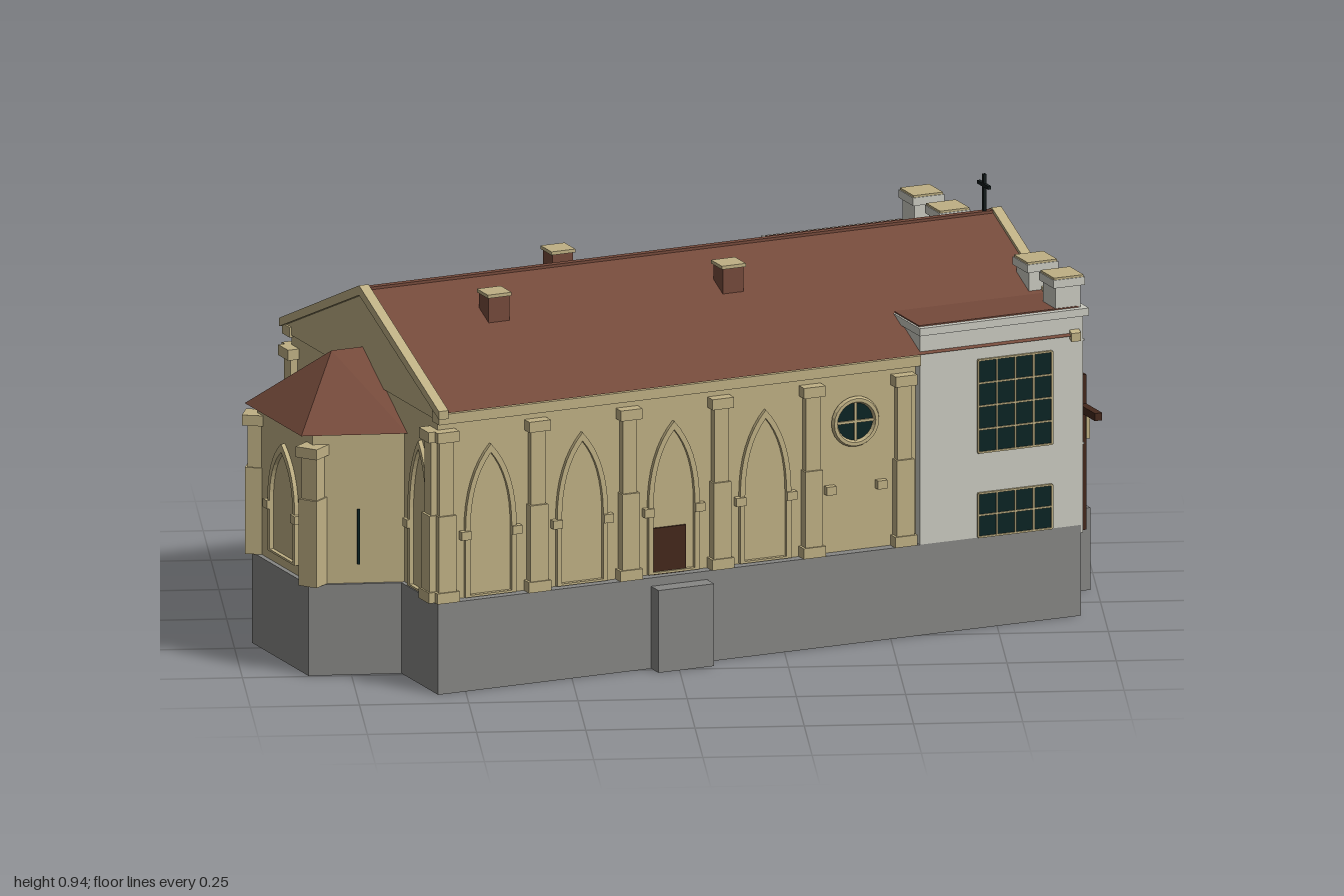
import * as THREE from 'three';

const paint = (name, color) => {
  const m = new THREE.MeshStandardMaterial({ color, side: THREE.DoubleSide, flatShading: true });
  m.name = name;
  return m;
};
const stone = paint('sandstone', 0xbfb084);
const plaster = paint('white plaster', 0xcacac0);
const grey = paint('grey plinth', 0x868684);
const tile = paint('roof tile', 0x754a3b);
const glass = paint('dark glass', 0x0c2424);
const blue = paint('blue panel', 0x24336c);
const wood = paint('dark wood', 0x44281c);
const iron = paint('black iron', 0x141c1c);

function add(parent, name, geo, mat, x = 0, y = 0, z = 0) {
  const m = new THREE.Mesh(geo, mat);
  m.name = name;
  m.position.set(x, y, z);
  parent.add(m);
  return m;
}
// Box given by its extents on each axis
function box(parent, name, mat, x0, x1, y0, y1, z0, z1) {
  return add(parent, name, new THREE.BoxGeometry(x1 - x0, y1 - y0, z1 - z0), mat,
    (x0 + x1) / 2, (y0 + y1) / 2, (z0 + z1) / 2);
}
const poly = (pts) => new THREE.Shape(pts.map(([x, y]) => new THREE.Vector2(x, y)));
const rect = (x0, x1, w) => [[x0, -w], [x1, -w], [x1, w], [x0, w]];
// Upright walls from a plan outline [x, z], optionally hollow
function walls(parent, name, mat, pts, y0, y1, hole) {
  const s = poly(pts.map(([x, z]) => [x, -z]));
  if (hole) s.holes.push(poly(hole.map(([x, z]) => [x, -z])));
  const g = new THREE.ExtrudeGeometry(s, { depth: y1 - y0, bevelEnabled: false });
  g.rotateX(-Math.PI / 2);
  return add(parent, name, g, mat, 0, y0, 0);
}
// Relief extruded outwards from a wall face
function relief(parent, name, mat, shape, depth, z = 0) {
  return add(parent, name, new THREE.ExtrudeGeometry(shape, { depth, bevelEnabled: false, curveSegments: 8 }), mat, 0, 0, z);
}
// Group whose +z points out of a wall
function face(parent, name, angle, x, z) {
  const g = new THREE.Group();
  g.name = name;
  g.rotation.y = angle;
  g.position.set(x, 0, z);
  parent.add(g);
  return g;
}
function archShape(cx, w, y0, ys, yt, S = THREE.Shape) {
  const s = new S(), k = ys + (yt - ys) * 0.65;
  s.moveTo(cx - w, y0);
  s.lineTo(cx + w, y0);
  s.lineTo(cx + w, ys);
  s.quadraticCurveTo(cx + w, k, cx, yt);
  s.quadraticCurveTo(cx - w, k, cx - w, ys);
  s.lineTo(cx - w, y0);
  return s;
}
function blindArch(f, cx, w, y0, ys, yt) {
  const s = archShape(cx, w, y0, ys, yt);
  s.holes.push(archShape(cx, w - 0.012, y0 + 0.005, ys, yt - 0.02, THREE.Path));
  relief(f, 'blindArch', stone, s, 0.01);
  for (const d of [-1, 1]) {
    const c = cx + d * w;
    box(f, 'corbel', stone, c - 0.012, c + 0.012, ys - 0.02, ys, 0, 0.016);
  }
}
// Glazed window with a grid of bars
function win(f, x0, x1, y0, y1, nx, ny) {
  box(f, 'windowGlass', glass, x0, x1, y0, y1, 0, 0.003);
  const b = 0.002;
  for (let i = 0; i <= nx; i++) {
    const x = x0 + (x1 - x0) * i / nx;
    box(f, 'windowBar', stone, x - b, x + b, y0, y1, 0, 0.006);
  }
  for (let j = 0; j <= ny; j++) {
    const y = y0 + (y1 - y0) * j / ny;
    box(f, 'windowBar', stone, x0, x1, y - b, y + b, 0, 0.006);
  }
}
function pilaster(f, x) {
  box(f, 'pilasterFoot', stone, x - 0.028, x + 0.028, 0.215, 0.24, 0, 0.028);
  box(f, 'pilasterLower', stone, x - 0.022, x + 0.022, 0.24, 0.42, 0, 0.024);
  box(f, 'pilasterUpper', stone, x - 0.018, x + 0.018, 0.42, 0.6, 0, 0.018);
  box(f, 'pilasterCapital', stone, x - 0.027, x + 0.027, 0.595, 0.62, 0, 0.028);
}
function surface(parent, name, mat, pts, index) {
  const g = new THREE.BufferGeometry();
  g.setAttribute('position', new THREE.Float32BufferAttribute(pts.flat(), 3));
  g.setIndex(index);
  const flat = g.toNonIndexed();
  flat.computeVertexNormals();
  return add(parent, name, flat, mat);
}

export function createModel() {
  const model = new THREE.Group();
  model.name = 'church';
  const c = new THREE.Group();
  c.name = 'building';
  c.rotation.y = 0.358;
  c.position.set(0.045, 0, -0.005);
  model.add(c);

  // Hollow plinth, entrance steps and apse foundation
  walls(c, 'plinth', grey, rect(-0.81, 0.805, 0.425), 0, 0.215, rect(-0.79, 0.785, 0.39));
  box(c, 'frontTerrace', grey, 0.806, 0.915, 0, 0.195, -0.235, 0.235);
  box(c, 'sideStep', grey, -0.275, -0.135, 0, 0.195, 0.424, 0.465);
  walls(c, 'apsePlinth', grey, [[-0.81, -0.225], [-0.81, 0.225], [-1.012, 0.155], [-1.012, -0.155]], 0, 0.215);

  // Nave walls and main roof
  walls(c, 'naveWalls', stone, rect(-0.8, 0.41, 0.4), 0.215, 0.65, rect(-0.79, 0.4, 0.39));
  for (const s of [-1, 1]) {
    box(c, 'eaveCornice', stone, -0.81, 0.4, 0.64, 0.664, s > 0 ? 0.39 : -0.43, s > 0 ? 0.43 : -0.39);
    surface(c, 'mainRoof', tile, [[-0.8, 0.668, s * 0.435], [0.79, 0.668, s * 0.435], [0.79, 0.855, 0], [-0.8, 0.855, 0]],
      s > 0 ? [0, 1, 2, 0, 2, 3] : [0, 2, 1, 0, 3, 2]);
  }
  box(c, 'ridge', tile, -0.8, 0.79, 0.848, 0.858, -0.008, 0.008);

  // Gables with raised coping at both ends
  for (const [a, x] of [[-Math.PI / 2, -0.8], [Math.PI / 2, 0.785]]) {
    const f = face(c, 'gable', a, x, 0);
    relief(f, 'gableWall', stone, poly([[-0.425, 0.645], [0.425, 0.645], [0.425, 0.665], [0, 0.85], [-0.425, 0.665]]), 0.01, -0.005);
    const k = poly([[-0.438, 0.655], [-0.438, 0.675], [0, 0.863], [0.438, 0.675], [0.438, 0.655], [0, 0.84]]);
    relief(f, 'gableCoping', stone, k, 0.024, -0.01);
  }

  // Long sides: pilasters, blind arches, round window, side windows of the front block
  for (const s of [1, -1]) {
    const f = face(c, s > 0 ? 'leftSide' : 'rightSide', s > 0 ? 0 : Math.PI, 0, s * 0.4);
    for (let i = 0; i < 6; i++) pilaster(f, s * (-0.785 + i * 0.23));
    for (let i = 0; i < 4; i++) blindArch(f, s * (-0.67 + i * 0.23), 0.064, 0.217, 0.375, 0.575);
    const x = s * 0.247;
    const ring = add(f, 'roundWindowFrame', new THREE.TorusGeometry(0.052, 0.008, 6, 24), stone, x, 0.52, 0.004);
    ring.scale.z = 1.2;
    add(f, 'roundWindowGlass', new THREE.CircleGeometry(0.05, 24), glass, x, 0.52, 0.003);
    box(f, 'roundWindowBar', stone, x - 0.05, x + 0.05, 0.517, 0.523, 0.002, 0.007);
    box(f, 'roundWindowBar', stone, x - 0.003, x + 0.003, 0.47, 0.57, 0.002, 0.007);
    for (const d of [-1, 1]) box(f, 'corbel', stone, x + d * 0.064 - 0.012, x + d * 0.064 + 0.012, 0.355, 0.375, 0, 0.016);
    const b = face(c, 'blockSide', s > 0 ? 0 : Math.PI, 0, s * 0.425);
    const [x0, x1] = s > 0 ? [0.545, 0.73] : [-0.73, -0.545];
    win(b, x0, x1, 0.417, 0.636, 4, 4);
    win(b, x0, x1, 0.217, 0.32, 4, 2);
  }
  box(c, 'sideDoor', wood, -0.262, -0.178, 0.215, 0.325, 0.4, 0.405);
  box(c, 'wallTablet', stone, 0.24, 0.3, 0.19, 0.24, -0.432, -0.424);
  box(c, 'drainPipe', iron, 0.512, 0.524, 0.2, 0.7, -0.442, -0.428);

  // White front block with cornice, flat roof and pinnacles
  walls(c, 'frontBlock', plaster, rect(0.4, 0.8, 0.425), 0.215, 0.715, rect(0.41, 0.79, 0.415));
  box(c, 'facadeWall', plaster, 0.795, 0.81, 0.197, 0.715, -0.425, 0.425);
  walls(c, 'blockCornice', plaster, rect(0.395, 0.82, 0.435), 0.712, 0.73, rect(0.415, 0.785, 0.41));
  box(c, 'flatRoof', tile, 0.4, 0.8, 0.727, 0.733, -0.42, 0.42);
  for (const z of [-0.385, -0.24, 0.24, 0.385]) {
    box(c, 'pinnacle', plaster, 0.743, 0.807, 0.73, 0.785, z - 0.033, z + 0.033);
    box(c, 'pinnacleCap', plaster, 0.736, 0.814, 0.783, 0.802, z - 0.04, z + 0.04);
    box(c, 'pinnacleTop', stone, 0.738, 0.812, 0.802, 0.807, z - 0.038, z + 0.038);
  }

  // Facade windows and the blue panel with its figure
  const f = face(c, 'facade', Math.PI / 2, 0.81, 0);
  for (const s of [-1, 1]) {
    const [x0, x1] = s > 0 ? [0.15, 0.352] : [-0.352, -0.15];
    win(f, x0, x1, 0.415, 0.636, 4, 4);
    win(f, x0, x1, 0.2, 0.322, 4, 2);
  }
  win(f, -0.1, 0.1, 0.2, 0.322, 5, 2);
  box(f, 'bluePanel', blue, -0.103, 0.103, 0.33, 0.636, 0, 0.004);
  relief(f, 'figureGown', stone, poly([[-0.063, 0.378], [0.063, 0.378], [0.026, 0.545], [-0.026, 0.545]]), 0.004, 0.004);
  const head = add(f, 'figureHead', new THREE.CircleGeometry(0.025, 16), stone, 0, 0.57, 0.008);
  head.scale.y = 1.1;
  for (const y of [0.41, 0.655]) {
    for (const s of [-1, 1]) box(f, 'stringCourse', plaster, s > 0 ? 0.11 : -0.425, s > 0 ? 0.425 : -0.11, y - 0.004, y, 0, 0.003);
  }

  // Wooden cross before the facade
  box(c, 'woodenCrossPost', wood, 0.86, 0.878, 0.162, 0.53, 0.276, 0.294);
  box(c, 'woodenCrossBeam', wood, 0.86, 0.878, 0.443, 0.461, 0.19, 0.38);
  box(c, 'crossFigure', stone, 0.877, 0.886, 0.378, 0.445, 0.273, 0.297);

  // Iron cross on the ridge
  box(c, 'ridgeCrossPost', iron, 0.752, 0.76, 0.85, 0.945, -0.004, 0.004);
  box(c, 'ridgeCrossBeam', iron, 0.752, 0.76, 0.915, 0.923, -0.03, 0.03);

  // Roof chimneys
  for (const [x, z] of [[-0.251, -0.138], [0.052, 0.135], [-0.536, 0.135]]) {
    box(c, 'chimney', tile, x - 0.026, x + 0.026, 0.76, 0.845, z - 0.026, z + 0.026);
    box(c, 'chimneyCap', stone, x - 0.03, x + 0.03, 0.845, 0.853, z - 0.03, z + 0.03);
  }

  // Apse with hipped roof, corner buttresses and windows
  walls(c, 'apseWalls', stone, [[-0.8, -0.22], [-0.8, 0.22], [-1.0, 0.15], [-1.0, -0.15]], 0.215, 0.575);
  surface(c, 'apseRoof', tile, [[-0.8, 0.57, 0.235], [-1.03, 0.57, 0.155], [-1.03, 0.57, -0.155], [-0.8, 0.57, -0.235],
    [-0.883, 0.717, 0], [-0.8, 0.717, 0]], [0, 5, 4, 0, 4, 1, 1, 4, 2, 2, 4, 3, 3, 4, 5]);
  for (const s of [-1, 1]) {
    const b = face(c, 'apseButtress', -Math.PI / 2 - s * -0.6, -0.995, s * 0.15);
    box(b, 'buttressLower', stone, -0.024, 0.024, 0.215, 0.42, -0.02, 0.03);
    box(b, 'buttressUpper', stone, -0.02, 0.02, 0.42, 0.52, -0.02, 0.024);
    box(b, 'buttressCap', stone, -0.028, 0.028, 0.52, 0.545, -0.02, 0.036);
    const w = face(c, 'apseSide', s > 0 ? -0.337 : Math.PI + 0.337, -0.9, s * 0.185);
    box(w, 'slitWindow', glass, -0.003, 0.003, 0.26, 0.39, 0, 0.004);
  }
  const e = face(c, 'apseEnd', -Math.PI / 2, -1.0, 0);
  blindArch(e, 0, 0.075, 0.24, 0.36, 0.51);
  const end = face(c, 'naveEnd', -Math.PI / 2, -0.8, 0);
  for (const s of [-1, 1]) {
    blindArch(end, s * 0.315, 0.06, 0.217, 0.375, 0.575);
    pilaster(end, s * 0.385);
  }
  return model;
}
